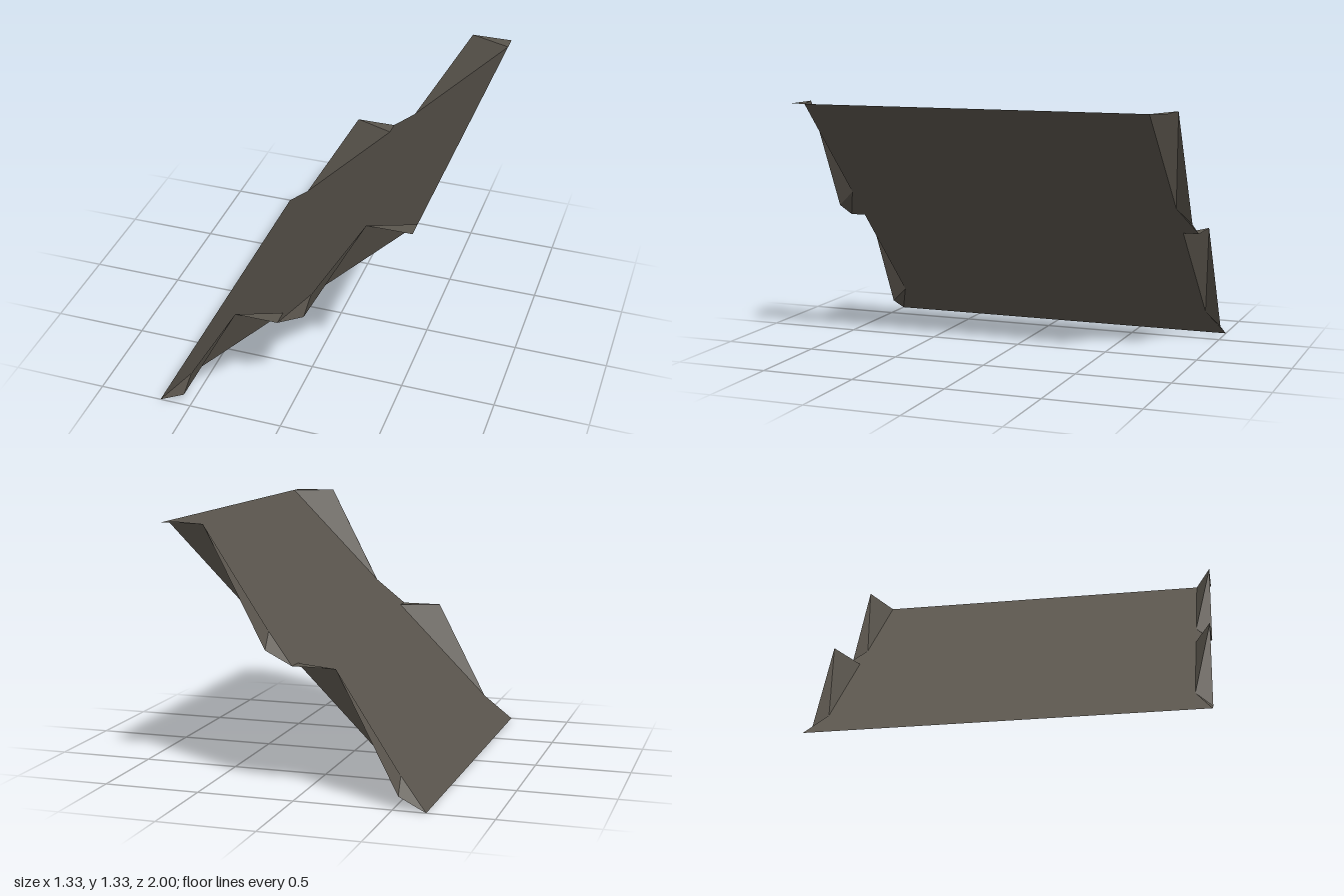
import * as THREE from 'three';

const STEP = 0.6667; // run and rise of one stair repeat
const INNER = 0.917; // half width of the flat slope
const OUTER = 1;     // half width including the ragged edges

// Builds a flat-shaded geometry from triangles of [x, y, z] corners
function fromTriangles(triangles) {
  const geometry = new THREE.BufferGeometry();
  geometry.setAttribute('position', new THREE.Float32BufferAttribute(triangles.flat(2), 3));
  geometry.computeVertexNormals();
  return geometry;
}

// One repeat of the faceted rim, side = 1 for front, -1 for back
function edgeGeometry(side) {
  const inner = (x, y) => [x, y, side * INNER];
  const outer = (x, y) => [x, y, side * OUTER];
  const footIn = inner(0, 0), foot = outer(0, 0);
  const dip = outer(0.137, 0.069), fold = inner(0.148, 0.148);
  const peak = outer(0.447, 0.6667);
  const end = outer(STEP, STEP), endIn = inner(STEP, STEP);
  const triangles = [
    [foot, fold, footIn],
    [foot, dip, fold],
    [dip, peak, fold],
    [fold, peak, endIn],
    [peak, end, endIn],
  ];
  // mirrored side needs reversed corner order
  return fromTriangles(side > 0 ? triangles : triangles.map(([a, b, c]) => [a, c, b]));
}

export function createModel() {
  const model = new THREE.Group();
  model.name = 'slopedSheet';
  const stone = new THREE.MeshStandardMaterial({ color: 0x5a554d, side: THREE.DoubleSide, flatShading: true });
  stone.name = 'dark stone';

  // Flat diagonal slope
  const a = [-STEP, 0, INNER], b = [STEP, 2 * STEP, INNER];
  const c = [STEP, 2 * STEP, -INNER], d = [-STEP, 0, -INNER];
  const slope = new THREE.Mesh(fromTriangles([[a, b, c], [a, c, d]]), stone);
  slope.name = 'slope';
  model.add(slope);

  // Two rim repeats along each side
  for (const side of [1, -1]) {
    const geometry = edgeGeometry(side);
    for (let i = 0; i < 2; i++) {
      const edge = new THREE.Mesh(geometry, stone);
      edge.name = `${side > 0 ? 'front' : 'back'}Edge${i + 1}`;
      edge.position.set((i - 1) * STEP, i * STEP, 0);
      model.add(edge);
    }
  }
  return model;
}
